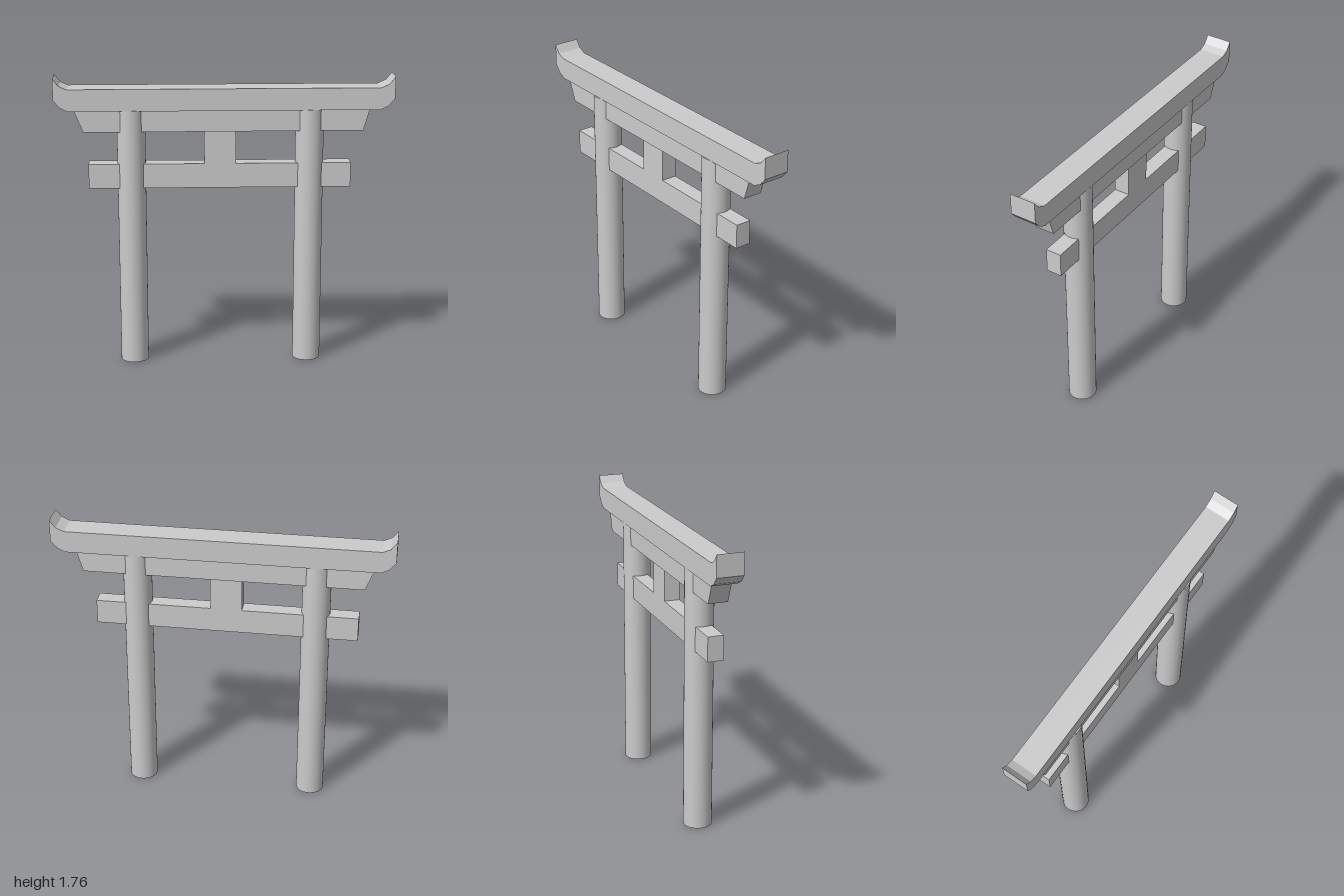
import * as THREE from 'three';

const material = new THREE.MeshStandardMaterial({ color: 0xcccccc });

// Extrude a front outline between two z positions
function slab(name, points, zBack, zFront) {
  const shape = new THREE.Shape(points.map(([x, y]) => new THREE.Vector2(x, y)));
  const geometry = new THREE.ExtrudeGeometry(shape, { depth: zFront - zBack, bevelEnabled: false });
  geometry.translate(0, 0, zBack);
  const mesh = new THREE.Mesh(geometry, material);
  mesh.name = name;
  return mesh;
}

export function createModel() {
  const gate = new THREE.Group();
  gate.name = 'gate';

  // Round pillars
  const pillarHeight = 1.566;
  for (const [name, x] of [['rightPillar', -0.551], ['leftPillar', 0.506]]) {
    const pillar = new THREE.Mesh(new THREE.CylinderGeometry(0.084, 0.084, pillarHeight, 32), material);
    pillar.name = name;
    pillar.position.set(x, pillarHeight / 2, 0);
    gate.add(pillar);
  }

  // Top beam with upswept ends
  gate.add(slab('topBeam', [
    [-0.917, 1.564], [0.917, 1.564], [0.963, 1.587], [1, 1.631],
    [1, 1.76], [0.965, 1.717], [0.917, 1.695],
    [-0.92, 1.695], [-0.965, 1.715], [-1, 1.76],
    [-1, 1.631], [-0.963, 1.587],
  ], -0.083, 0.075));

  // Beam below it with slanted ends
  gate.add(slab('upperBeam', [
    [-0.83, 1.437], [0.818, 1.437], [0.856, 1.565], [-0.882, 1.565],
  ], -0.06, 0.056));

  // Tie beam and the central strut, flush with each other
  gate.add(slab('tieBeamWithStrut', [
    [-0.805, 1.094], [0.751, 1.094], [0.751, 1.241], [0.067, 1.241],
    [0.067, 1.44], [-0.12, 1.44], [-0.12, 1.241], [-0.805, 1.241],
  ], -0.049, 0.046));

  return gate;
}
